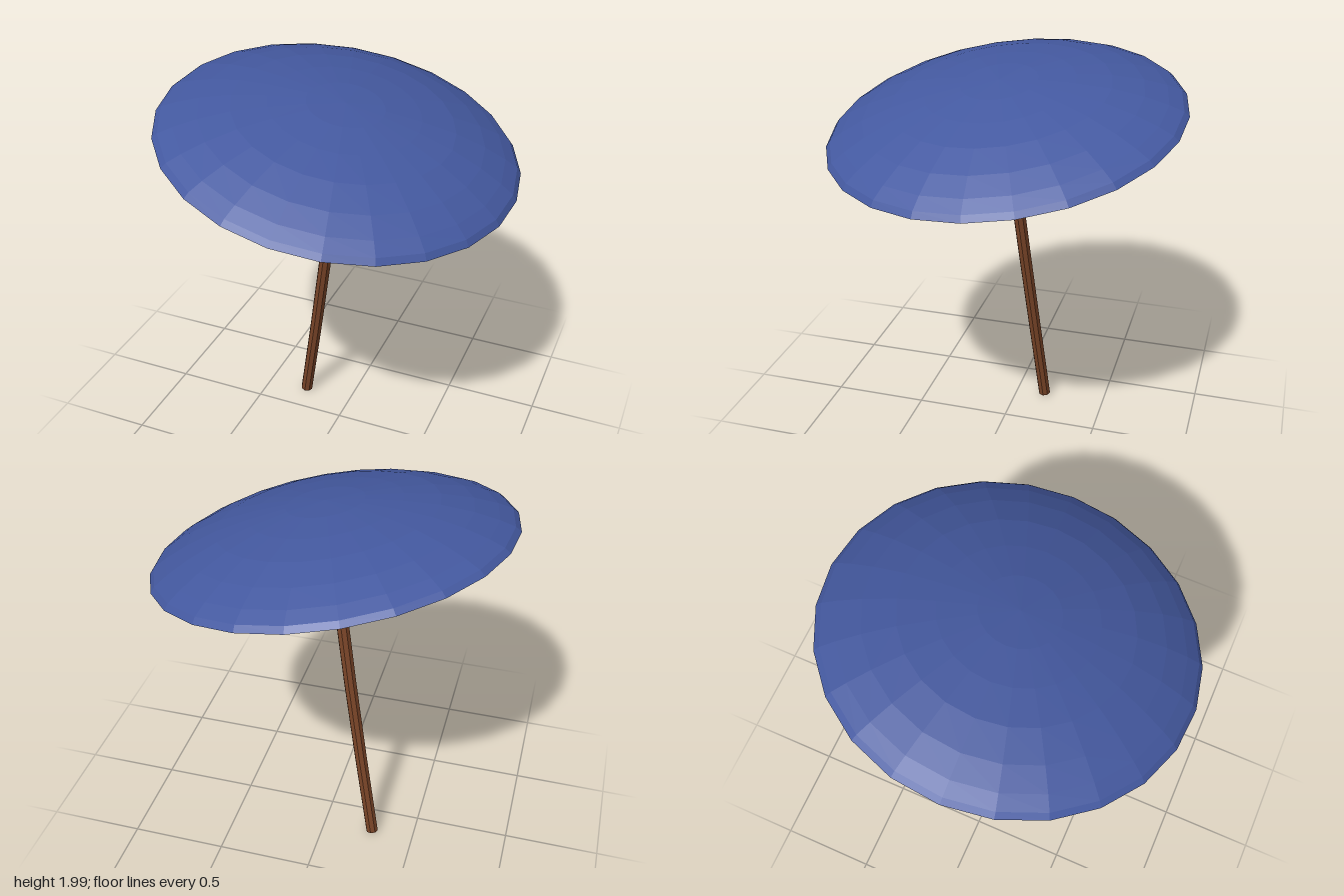
import * as THREE from 'three';

const UP = new THREE.Vector3(0, 1, 0);

export function createModel() {
  const model = new THREE.Group();
  model.name = 'parasol';

  // Canopy: thin low-poly dome, steeper towards the rim, tilted to one side
  const profile = [
    [0.892, 0], [0.868, 0.027], [0.8, 0.064], [0.69, 0.111],
    [0.54, 0.158], [0.37, 0.19], [0.19, 0.213], [0, 0.222],
  ].map(([r, h]) => new THREE.Vector2(r, h));
  const canopy = new THREE.Mesh(
    new THREE.LatheGeometry(profile, 24, THREE.MathUtils.degToRad(3)),
    new THREE.MeshStandardMaterial({ color: 0x4459a0, flatShading: true, side: THREE.DoubleSide })
  );
  canopy.name = 'canopy';
  canopy.position.set(0, 1.727, 0);
  canopy.quaternion.setFromUnitVectors(UP, new THREE.Vector3(0.198, 1, 0.09).normalize());
  model.add(canopy);

  // Pole: leaning eight-sided rod with a very slight bow, ending under the dome
  const foot = new THREE.Vector3(-0.272, 0.007, -0.159);
  const tip = new THREE.Vector3(0.026, 1.925, 0.01);
  const axis = tip.clone().sub(foot);
  const length = axis.length();
  const rod = new THREE.CylinderGeometry(0.033, 0.033, length, 8, 4);
  const pos = rod.attributes.position;
  for (let i = 0; i < pos.count; i++) {
    const t = pos.getY(i) / length + 0.5;
    pos.setX(i, pos.getX(i) + 0.01 * Math.sin(Math.PI * t));
  }
  rod.computeVertexNormals();
  const pole = new THREE.Mesh(
    rod,
    new THREE.MeshStandardMaterial({ color: 0x7a4528, flatShading: true })
  );
  pole.name = 'pole';
  pole.position.copy(foot).add(tip).multiplyScalar(0.5);
  pole.quaternion.setFromUnitVectors(UP, axis.normalize());
  model.add(pole);

  return model;
}
